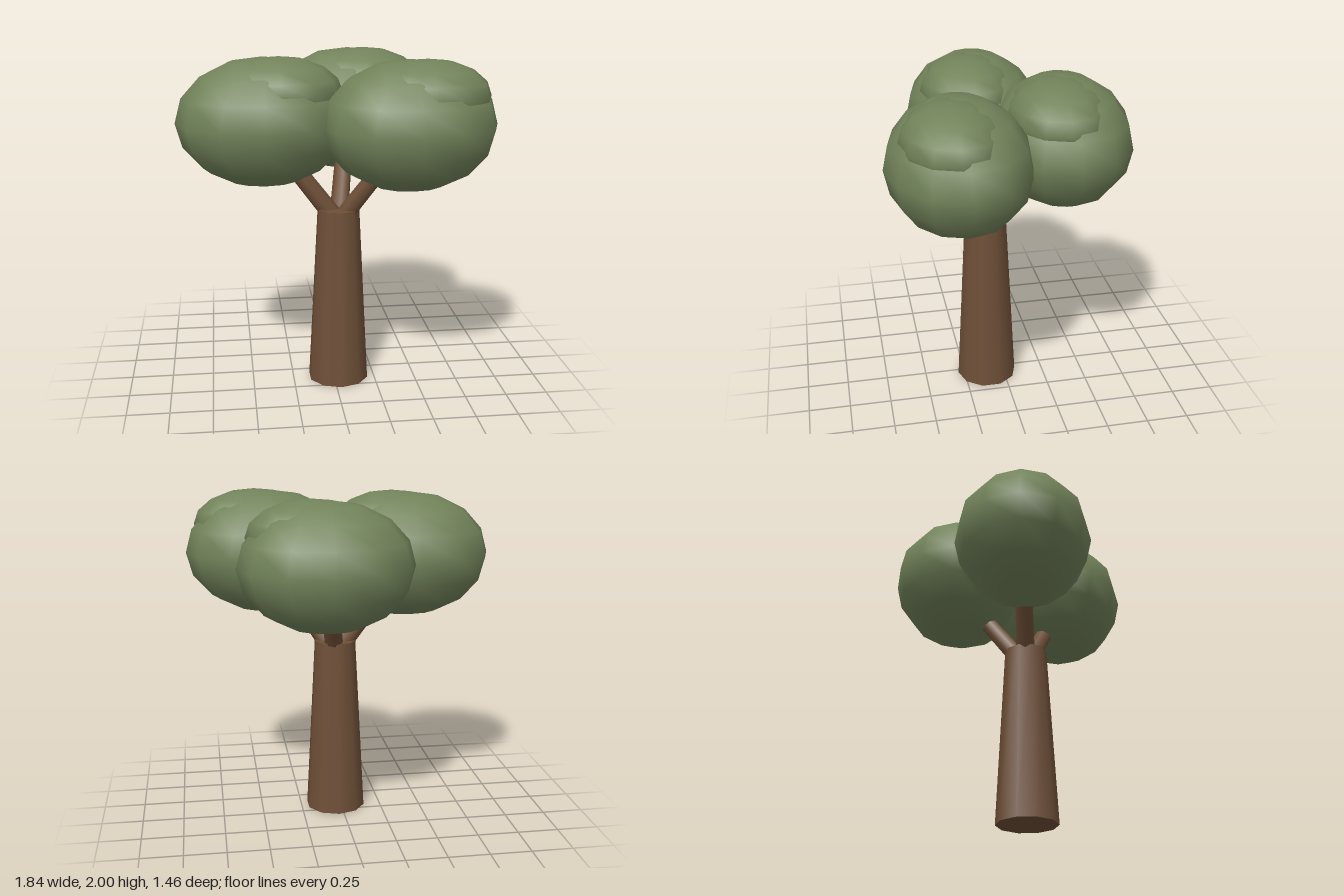
import * as THREE from 'three';

export function createModel() {
  const tree = new THREE.Group();
  const bark = new THREE.MeshStandardMaterial({ color: 0x6f5038 });
  bark.name = 'bark brown';
  const leaf = new THREE.MeshStandardMaterial({ color: 0x72835a });
  leaf.name = 'leaf green';

  const add = (name, geometry, material, position) => {
    const mesh = new THREE.Mesh(geometry, material);
    mesh.name = name;
    mesh.position.copy(position);
    tree.add(mesh);
    return mesh;
  };

  // Ellipsoid clump of leaves
  const clump = (name, center, rx, ry, rz) =>
    add(name, new THREE.SphereGeometry(1, 12, 8), leaf, center).scale.set(rx, ry, rz);

  // Tapered trunk
  const trunkX = 0.03, trunkZ = 0.105;
  add('trunk', new THREE.CylinderGeometry(0.127, 0.185, 1.09, 10), bark,
    new THREE.Vector3(trunkX, 0.545, trunkZ));

  // Three crowns, each with a smaller tuft on top and a branch below
  const crowns = [
    ['right', -0.405, 0.1],
    ['left', 0.41, 0.315],
    ['back', 0.135, -0.32],
  ];
  const up = new THREE.Vector3(0, 1, 0);
  for (const [side, x, z] of crowns) {
    clump(side + 'Crown', new THREE.Vector3(x, 1.62, z), 0.51, 0.375, 0.41);
    clump(side + 'Tuft', new THREE.Vector3(x + 0.085, 1.79, z + 0.045), 0.37, 0.21, 0.29);

    const start = new THREE.Vector3(trunkX, 1.0, trunkZ);
    const reach = new THREE.Vector3(x - trunkX, 0, z - trunkZ).setLength(0.25);
    reach.y = 0.33;
    const branch = add(side + 'Branch',
      new THREE.CylinderGeometry(0.052, 0.058, reach.length(), 8), bark,
      start.addScaledVector(reach, 0.5));
    branch.quaternion.setFromUnitVectors(up, reach.clone().normalize());
  }
  return tree;
}
